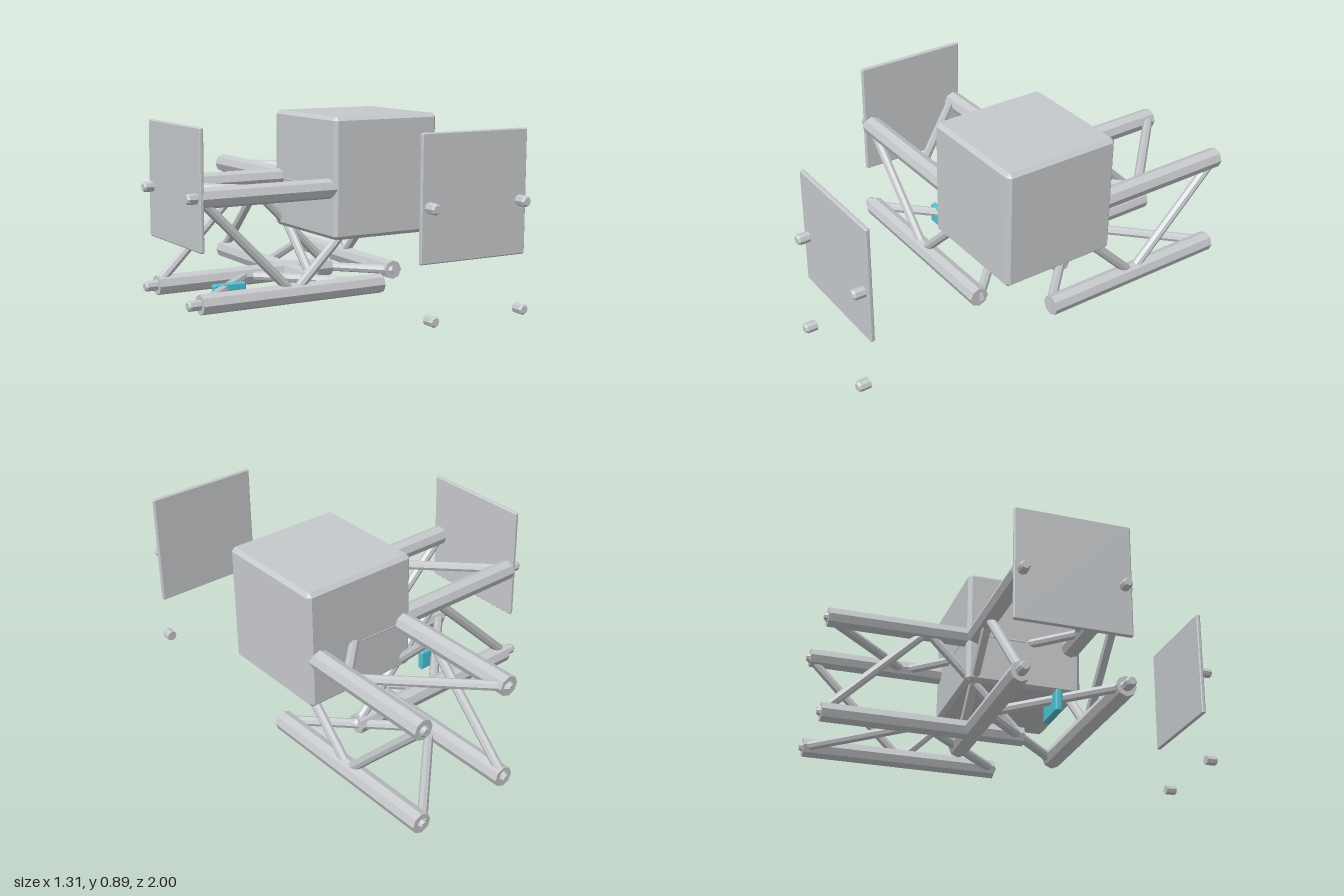
import * as THREE from 'three';
import { ConvexGeometry } from 'three/addons/geometries/ConvexGeometry.js';

const mat = (name, color) => Object.assign(new THREE.MeshStandardMaterial({ color }), { name });

export function createModel() {
  const steel = mat('steelGrey', 0xc6c9cc);
  const teal = mat('teal', 0x4fc3d5);
  const model = new THREE.Group();
  model.name = 'trussCorner';

  const add = (name, geo, material = steel) => {
    const m = new THREE.Mesh(geo, material);
    m.name = name;
    model.add(m);
    return m;
  };
  // eight-sided bar with flat facets from a to b, with optional narrower end
  const bar = (name, a, b, r, rEnd = r) => {
    const p = new THREE.Vector3(...a), q = new THREE.Vector3(...b);
    const d = q.clone().sub(p);
    const geo = new THREE.CylinderGeometry(rEnd, r, d.length(), 8).toNonIndexed();
    geo.computeVertexNormals();
    const m = add(name, geo);
    m.position.copy(p).add(q).multiplyScalar(0.5);
    m.quaternion.setFromUnitVectors(new THREE.Vector3(0, 1, 0), d.normalize());
  };
  // box with chamfered edges
  const box = (name, x, y, z, w, h, d, c, material) => {
    const pts = [];
    for (const i of [-1, 1]) for (const j of [-1, 1]) for (const k of [-1, 1])
      for (const [a, b, e] of [[0, c, c], [c, 0, c], [c, c, 0]])
        pts.push(new THREE.Vector3(i * (w / 2 - a), j * (h / 2 - b), k * (d / 2 - e)));
    add(name, new ConvexGeometry(pts), material).position.set(x, y, z);
  };
  const zigzag = (name, pts) => {
    for (let i = 0; i + 1 < pts.length; i++) bar(name, pts[i], pts[i + 1], 0.023);
  };
  // coupling pin with a chamfered tip
  const pin = (a, dir, len) => {
    const at = (t) => a.map((v, i) => v + dir[i] * t);
    bar('couplingPin', at(0), at(len - 0.01), 0.025);
    bar('couplingPinTip', at(len - 0.01), at(len), 0.025, 0.018);
  };

  const yLow = 0.075, yTop = 0.553, rod = 0.048;
  const zBack = -0.265, zFront = 0.215, xIn = 0.127, xOut = 0.605;
  const X = [-0.59, -0.11, 0.37];   // stations of the side arm
  const Z = [-0.98, -0.5, -0.02];   // stations of the rear arm

  // main chords and their couplings
  for (const y of [yLow, yTop]) {
    for (const z of [zBack, zFront]) {
      bar('sideArmChord', [X[0], y, z], [X[2], y, z], rod);
      pin([X[0], y, z], [-1, 0, 0], 0.063);
    }
    for (const x of [xIn, xOut]) {
      bar('rearArmChord', [x, y, Z[0]], [x, y, Z[2]], rod);
      bar('socketStub', [x, y, Z[0]], [x, y, -0.997], 0.022, 0.014);
      pin([x, y, 0.942], [0, 0, 1], 0.058);
    }
  }

  // zigzag bracing: upright faces, then upper and lower faces
  const wave = (a, b) => [a, b, a];
  const upDown = wave(yTop, yLow), downUp = wave(yLow, yTop);
  zigzag('sideArmFrontBrace', X.map((x, i) => [x, upDown[i], zFront]));
  zigzag('sideArmBackBrace', X.map((x, i) => [x, downUp[i], zBack]));
  zigzag('sideArmTopBrace', X.map((x, i) => [x, yTop, wave(zBack, zFront)[i]]));
  zigzag('sideArmBottomBrace', X.map((x, i) => [x, yLow, wave(zFront, zBack)[i]]));
  zigzag('rearArmOuterBrace', Z.map((z, i) => [xOut, upDown[i], z]));
  zigzag('rearArmInnerBrace', Z.map((z, i) => [xIn, downUp[i], z]));
  zigzag('rearArmTopBrace', Z.map((z, i) => [wave(xIn, xOut)[i], yTop, z]));
  zigzag('rearArmBottomBrace', Z.map((z, i) => [wave(xOut, xIn)[i], yLow, z]));

  // corner block and the two end plates
  box('cornerBlock', 0.368, 0.6, -0.023, 0.574, 0.576, 0.576, 0.018);
  box('sidePlate', -0.592, 0.59, -0.025, 0.021, 0.556, 0.556, 0.005);
  box('frontPlate', 0.366, 0.59, 0.932, 0.556, 0.556, 0.021, 0.005);

  // tag clamped around the lower brace of the side arm
  box('tag', -0.324, 0.051, -0.027, 0.17, 0.102, 0.032, 0.006, teal);

  return model;
}
